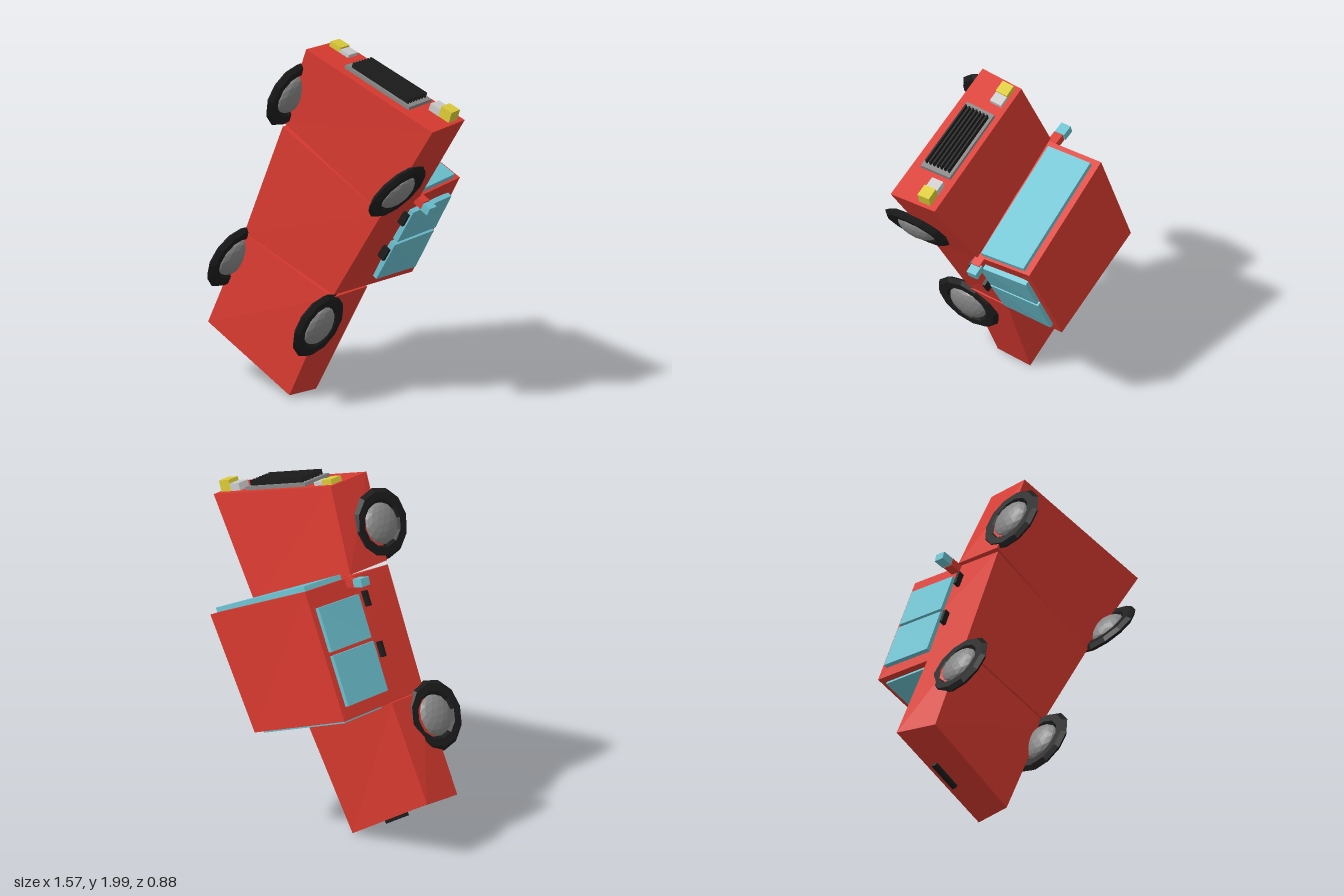
import * as THREE from 'three';

const paint = (color) => new THREE.MeshStandardMaterial({ color, flatShading: true });
const V = (x, y, z) => new THREE.Vector3(x, y, z);

// Six-sided block between two quads; near is counter-clockwise from outside
function block(name, near, far, mat) {
  const quads = [near, [far[3], far[2], far[1], far[0]]];
  for (let i = 0; i < 4; i++) {
    const j = (i + 1) % 4;
    quads.push([far[i], far[j], near[j], near[i]]);
  }
  const tris = quads.flatMap(([a, b, c, d]) => [a, b, c, a, c, d]);
  const geo = new THREE.BufferGeometry().setFromPoints(tris);
  geo.computeVertexNormals();
  const mesh = new THREE.Mesh(geo, mat);
  mesh.name = name;
  return mesh;
}

// Raised slab on part of a body face, given as u and v ranges
function panel(name, [a, b, c, d], [u0, u1], [v0, v1], thick, mat) {
  const at = (u, v) => a.clone().lerp(b, u).lerp(d.clone().lerp(c, u), v);
  const n = c.clone().sub(a).cross(d.clone().sub(b)).normalize();
  const base = [at(u0, v0), at(u1, v0), at(u1, v1), at(u0, v1)];
  const lift = (t) => base.map((p) => p.clone().addScaledVector(n, t));
  return block(name, lift(thick), lift(-0.01), mat);
}

export function createModel() {
  const car = new THREE.Group();
  const red = paint(0xd93a30), glass = paint(0x6cc0cf), black = paint(0x1c1c1c);
  const grey = paint(0x868686), yellow = paint(0xdccb38), lamp = paint(0xc4c8c8);

  // The car stands on its tail: nose up, roof towards -z
  const nose = [V(-0.08, 1.98, 0.225), V(0.785, 1.69, 0.212), V(0.775, 1.69, -0.068), V(-0.07, 1.967, -0.035)];
  const hoodRear = [V(-0.26, 1.53, 0.2), V(0.42, 1.15, 0.19), V(0.425, 1.17, -0.105), V(-0.267, 1.53, -0.085)];
  const cabFront = [V(-0.26, 1.505, 0.205), V(0.42, 1.155, 0.195), V(0.43, 1.205, -0.44), V(-0.26, 1.525, -0.42)];
  const cabRear = [V(-0.52, 0.86, 0.212), V(0.09, 0.635, 0.2), V(0.11, 0.615, -0.427), V(-0.548, 0.86, -0.41)];
  const bedFront = [V(-0.525, 0.855, 0.205), V(0.085, 0.62, 0.207), V(0.1, 0.62, -0.066), V(-0.54, 0.86, -0.045)];
  const bedEnd = [V(-0.757, 0.318, 0.23), V(-0.205, 0.017, 0.215), V(-0.2, 0.002, 0), V(-0.788, 0.345, -0.03)];
  car.add(block('hood', nose, hoodRear, red));
  car.add(block('cab', cabFront, cabRear, red));
  car.add(block('bed', bedFront, bedEnd, red));

  // Front and rear glass
  car.add(panel('windshield', cabFront, [0.05, 0.98], [0.5, 0.94], 0.028, glass));
  const back = [cabRear[1], cabRear[0], cabRear[3], cabRear[2]];
  car.add(panel('rearWindow', back, [0.05, 0.95], [0.48, 0.95], 0.014, glass));

  // Side windows and door handles
  const sides = {
    left: [cabFront[1], cabRear[1], cabRear[2], cabFront[2]],
    right: [cabRear[0], cabFront[0], cabFront[3], cabRear[3]],
  };
  for (const [side, face] of Object.entries(sides)) {
    const span = (a, b) => (side === 'left' ? [1 - b, 1 - a] : [a, b]);
    car.add(panel(side + 'RearSideWindow', face, span(0.1, 0.49), [0.44, 0.94], 0.025, glass));
    car.add(panel(side + 'FrontSideWindow', face, span(0.52, 0.86), [0.45, 0.94], 0.025, glass));
    for (const u of [0.35, 0.75])
      car.add(panel(side + 'DoorHandle', face, span(u, u + 0.12), [0.355, 0.385], 0.035, black));
  }

  // Wing mirrors: red arm with a glass head
  const mirror = (side, arm, head, tilt) => {
    const g = new THREE.Group();
    g.name = side + 'Mirror';
    for (const [p, size, mat] of [[arm, [0.07, 0.045, 0.055], red], [head, [0.065, 0.045, 0.06], glass]]) {
      const m = new THREE.Mesh(new THREE.BoxGeometry(...size), mat);
      m.position.set(...p);
      m.rotation.z = tilt;
      g.add(m);
    }
    car.add(g);
  };
  mirror('left', [0.43, 1.155, -0.115], [0.475, 1.125, -0.12], -0.45);
  mirror('right', [-0.3, 1.5, -0.095], [-0.365, 1.522, -0.1], -0.3);

  // Grille plate and bars
  car.add(panel('grille', nose, [0.25, 0.76], [0.2, 0.88], 0.02, grey));
  for (let i = 0; i < 7; i++) {
    const v = 0.26 + i * 0.087;
    car.add(panel('grilleBar', nose, [0.285, 0.73], [v, v + 0.035], 0.05, black));
  }

  // Headlights and indicators
  car.add(panel('rightIndicator', nose, [0.025, 0.105], [0.6, 0.88], 0.03, yellow));
  car.add(panel('rightHeadlight', nose, [0.105, 0.175], [0.6, 0.88], 0.02, lamp));
  car.add(panel('leftHeadlight', nose, [0.815, 0.893], [0.6, 0.86], 0.042, lamp));
  car.add(panel('leftIndicator', nose, [0.893, 0.975], [0.6, 0.86], 0.063, yellow));

  // Tailgate handle
  const tail = [bedEnd[1], bedEnd[0], bedEnd[3], bedEnd[2]];
  car.add(panel('tailgateHandle', tail, [0.37, 0.63], [0.72, 0.84], 0.018, black));

  // Wheels: centre plus the in-plane heading (x, y) of each
  const tireGeo = new THREE.TorusGeometry(0.152, 0.043, 6, 12).scale(1, 1, 0.55);
  const hubGeo = new THREE.IcosahedronGeometry(0.115, 2).scale(1, 1, 0.45);
  const wheels = [
    ['frontLeftWheel', [0.54, 1.31, 0.212], [0.59, 0.807]],
    ['frontRightWheel', [-0.18, 1.71, 0.228], [0.325, 0.946]],
    ['rearLeftWheel', [0.02, 0.463, 0.245], [0.33, 0.944]],
    ['rearRightWheel', [-0.578, 0.72, 0.235], [0.4, 0.917]],
  ];
  for (const [name, pos, [hx, hy]] of wheels) {
    const wheel = new THREE.Group();
    wheel.name = name;
    const tire = new THREE.Mesh(tireGeo, black);
    tire.name = 'tire';
    const hub = new THREE.Mesh(hubGeo, grey);
    hub.name = 'hub';
    wheel.add(tire, hub);
    wheel.quaternion.setFromRotationMatrix(
      new THREE.Matrix4().makeBasis(V(hx, hy, 0).normalize(), V(0, 0, 1), V(hy, -hx, 0).normalize()));
    wheel.position.set(...pos);
    car.add(wheel);
  }
  return car;
}
